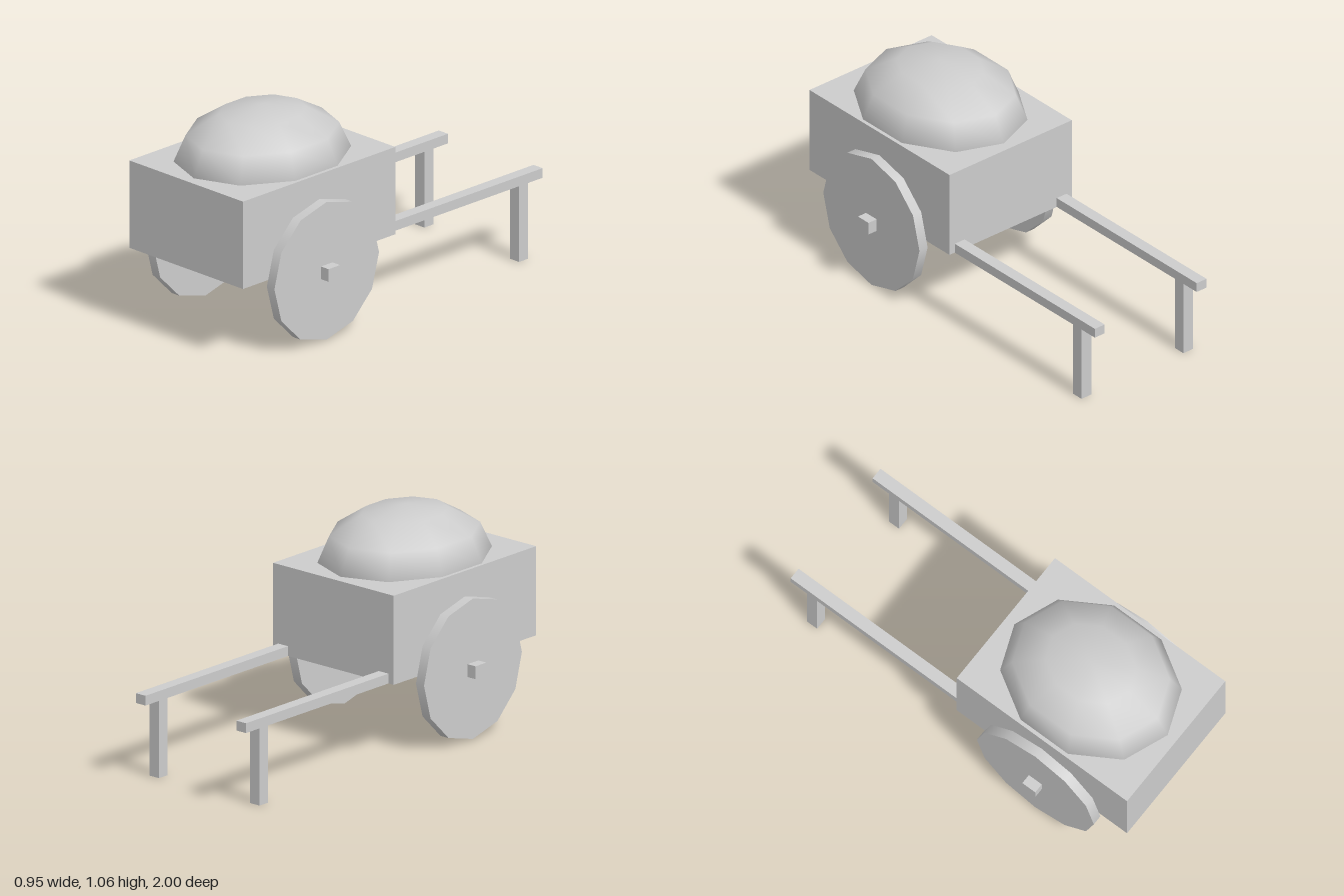
import * as THREE from 'three';

export function createModel() {
  const model = new THREE.Group();
  const grey = new THREE.MeshStandardMaterial({ color: 0xcccccc });
  grey.name = 'plain grey';

  const add = (name, geometry, x, y, z) => {
    const mesh = new THREE.Mesh(geometry, grey);
    mesh.name = name;
    mesh.position.set(x, y, z);
    model.add(mesh);
  };

  // Cart box, from its floor to its closed top
  const floor = 0.378, top = 0.814;
  add('cartBox', new THREE.BoxGeometry(0.75, top - floor, 1), 0, (floor + top) / 2, 0.5);

  // Rounded load: upper half of a faceted ellipsoid, with a corner at front and back
  const load = new THREE.SphereGeometry(1, 10, 3, Math.PI / 2, Math.PI * 2, 0, Math.PI / 2);
  load.scale(0.375, 0.25, 0.45);
  add('load', load, 0, top, 0.5);

  // Square axle under the floor
  add('axle', new THREE.BoxGeometry(0.95, 0.063, 0.076), 0, 0.3465, 0.5);

  // Wheels, handles and legs on both sides
  for (const [side, s] of [['left', 1], ['right', -1]]) {
    const wheel = new THREE.CylinderGeometry(0.3435, 0.3435, 0.05, 12);
    wheel.rotateZ(Math.PI / 2);
    add(side + 'Wheel', wheel, s * 0.4, 0.3465, 0.5);
    add(side + 'Handle', new THREE.BoxGeometry(0.06, 0.048, 1), s * 0.3125, floor + 0.024, -0.5);
    add(side + 'Leg', new THREE.BoxGeometry(0.06, floor, 0.06), s * 0.3125, floor / 2, -0.875);
  }
  return model;
}
